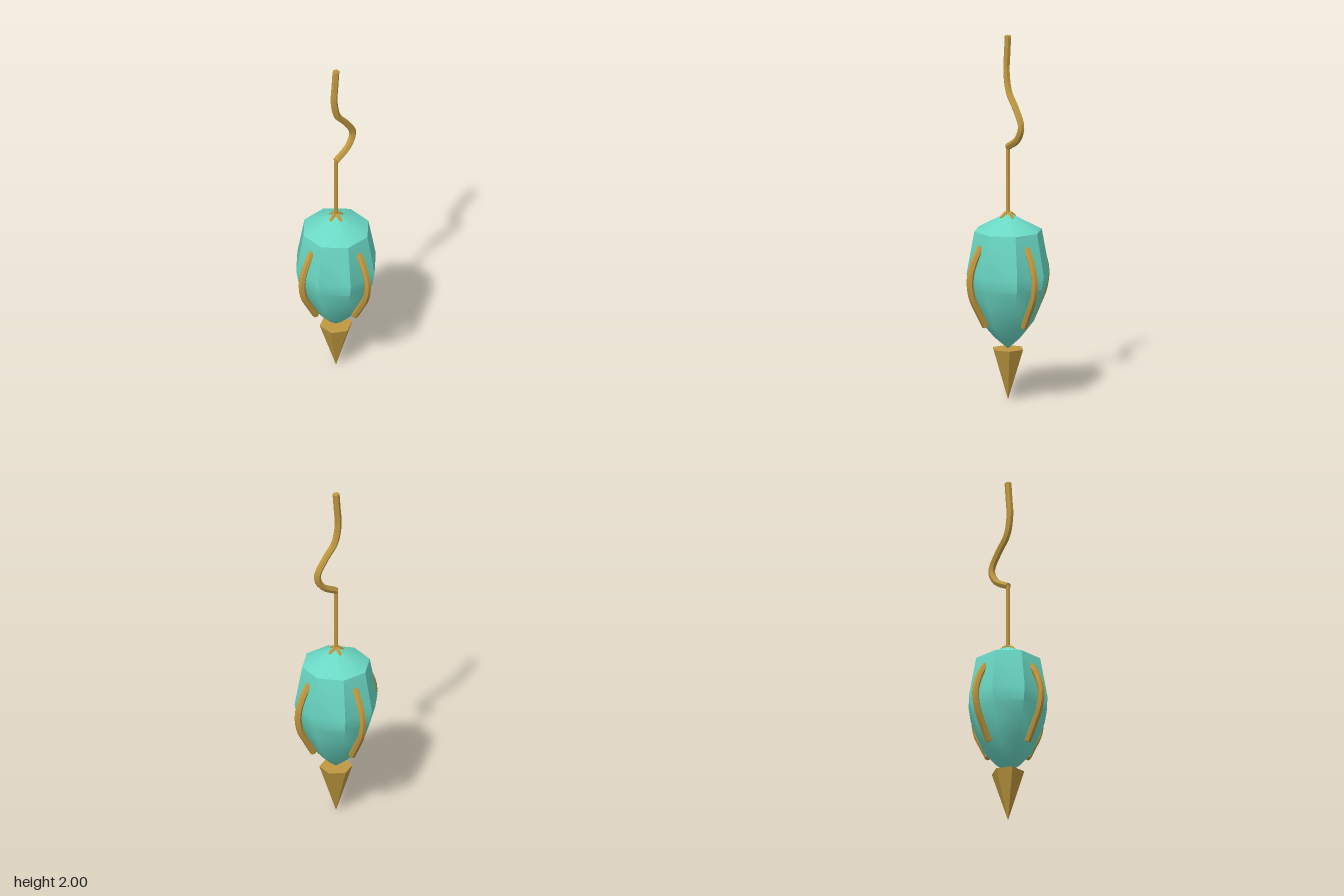
import * as THREE from 'three';
import { toCreasedNormals } from 'three/addons/utils/BufferGeometryUtils.js';

// Hexagonal bar swept along a smooth path in the xy plane, closed at both ends
function bar(points, radius, steps) {
  const curve = new THREE.CatmullRomCurve3(points.map(([x, y]) => new THREE.Vector3(x, y, 0)));
  const sides = 6;
  const geo = new THREE.TubeGeometry(curve, steps, radius, sides, false);
  const index = Array.from(geo.index.array);
  const last = steps * (sides + 1);
  for (let i = 1; i < sides - 1; i++) {
    index.push(0, i, i + 1);
    index.push(last, last + i + 1, last + i);
  }
  geo.setIndex(index);
  return toCreasedNormals(geo, 0.8);
}

export function createModel() {
  const model = new THREE.Group();
  model.name = 'pendant';

  const teal = new THREE.MeshStandardMaterial({ color: 0x6bd9c5 });
  teal.name = 'teal';
  const gold = new THREE.MeshStandardMaterial({ color: 0xbf9840 });
  gold.name = 'gold';

  const add = (name, geometry, material, parent = model) => {
    const mesh = new THREE.Mesh(geometry, material);
    mesh.name = name;
    parent.add(mesh);
    return mesh;
  };

  // Octagonal gem body: [distance to flat side, height]
  const flatToCorner = 1 / Math.cos(Math.PI / 8);
  const profile = [
    [0, 0.28], [0.07, 0.345], [0.128, 0.42], [0.174, 0.54],
    [0.2, 0.625], [0.211, 0.7], [0.172, 0.93], [0, 1.03],
  ].map(([r, y]) => new THREE.Vector2(r * flatToCorner, y));
  const bodyGeo = new THREE.LatheGeometry(profile, 8, Math.PI / 8);
  add('body', toCreasedNormals(bodyGeo, THREE.MathUtils.degToRad(43.8)), teal);

  // Downward spike
  const spikeGeo = new THREE.ConeGeometry(0.09, 0.28, 6).rotateX(Math.PI).translate(0, 0.14, 0);
  add('spike', toCreasedNormals(spikeGeo, 0.8), gold);

  // Four curved ribs around the body and four small prongs at its top
  const ribGeo = bar([[0.175, 0.86], [0.218, 0.79], [0.249, 0.69], [0.237, 0.59], [0.192, 0.5], [0.148, 0.42]], 0.019, 14);
  const prongGeo = bar([[0, 1.027], [0.022, 1.02], [0.042, 1.0]], 0.011, 4);
  const ribs = new THREE.Group();
  ribs.name = 'ribs';
  const prongs = new THREE.Group();
  prongs.name = 'prongs';
  model.add(ribs, prongs);
  for (let i = 0; i < 4; i++) {
    add('rib', ribGeo, gold, ribs).rotation.y = (i * Math.PI) / 2;
    add('prong', prongGeo, gold, prongs).rotation.y = (i * Math.PI) / 2;
  }

  // Straight rod and the wavy hook above it
  const rodGeo = new THREE.CylinderGeometry(0.012, 0.012, 0.39, 6).translate(0, 1.2, 0);
  add('rod', toCreasedNormals(rodGeo, 0.8), gold);
  add('hook', bar([
    [0, 1.39], [0.09, 1.445], [0.123, 1.52], [0.07, 1.615],
    [0.01, 1.69], [-0.014, 1.8], [-0.008, 1.9], [0, 2],
  ], 0.019, 28), gold);

  return model;
}
